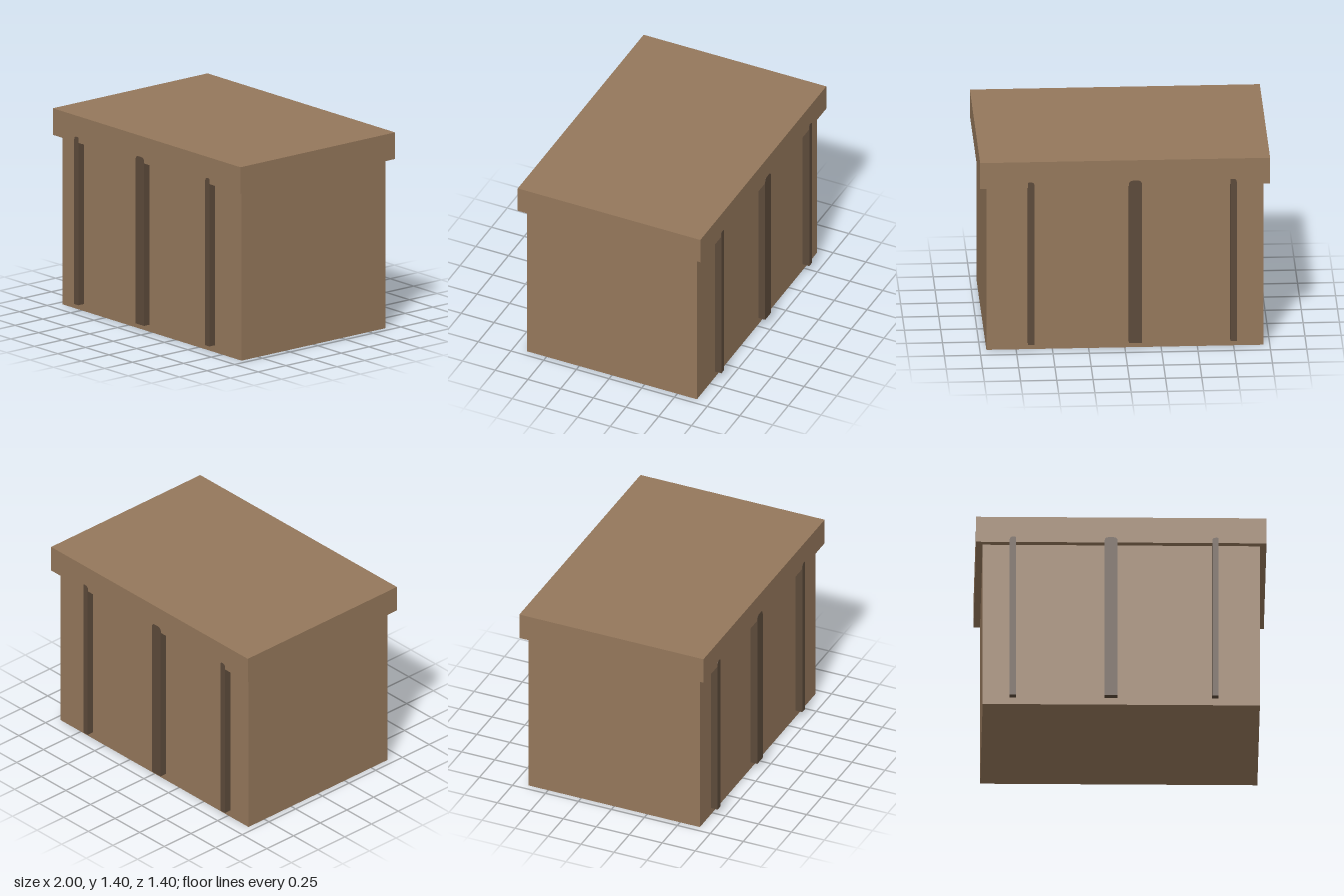
import * as THREE from 'three';

const wood = new THREE.MeshStandardMaterial({ color: 0x94775b });
wood.name = 'wood';
const darkWood = new THREE.MeshStandardMaterial({ color: 0x5c4a3a });
darkWood.name = 'dark wood';

function box(name, w, h, d, y) {
  const mesh = new THREE.Mesh(new THREE.BoxGeometry(w, h, d), wood);
  mesh.name = name;
  mesh.position.y = y + h / 2;
  return mesh;
}

// Upright batten outline with rounded top corners
function battenGeometry(x0, x1, rLeft, rRight, depth) {
  const bottom = 0.05, top = 1.25;
  const s = new THREE.Shape();
  s.moveTo(x0, bottom);
  s.lineTo(x1, bottom);
  s.lineTo(x1, top - rRight);
  s.quadraticCurveTo(x1, top, x1 - rRight, top);
  s.lineTo(x0 + rLeft, top);
  s.quadraticCurveTo(x0, top, x0, top - rLeft);
  s.closePath();
  return new THREE.ExtrudeGeometry(s, { depth, bevelEnabled: false, curveSegments: 4 });
}

export function createModel() {
  const group = new THREE.Group();
  group.name = 'chest';

  group.add(box('body', 1.91, 1.21, 1.3, 0));
  group.add(box('lid', 2, 0.19, 1.396, 1.21));

  // Three battens on the front, repeated on the back
  const battens = [
    ['rightBatten', -0.77, -0.726, 0.025, 0.01],
    ['middleBatten', -0.116, -0.026, 0.03, 0.03],
    ['leftBatten', 0.626, 0.67, 0.025, 0.01],
  ];
  const depth = 0.06;
  for (const [name, x0, x1, rLeft, rRight] of battens) {
    for (const [side, z] of [['front', 0.7 - depth], ['back', -0.7]]) {
      const mesh = new THREE.Mesh(battenGeometry(x0, x1, rLeft, rRight, depth), darkWood);
      mesh.name = side + ' ' + name;
      mesh.position.z = z;
      group.add(mesh);
    }
  }
  return group;
}
